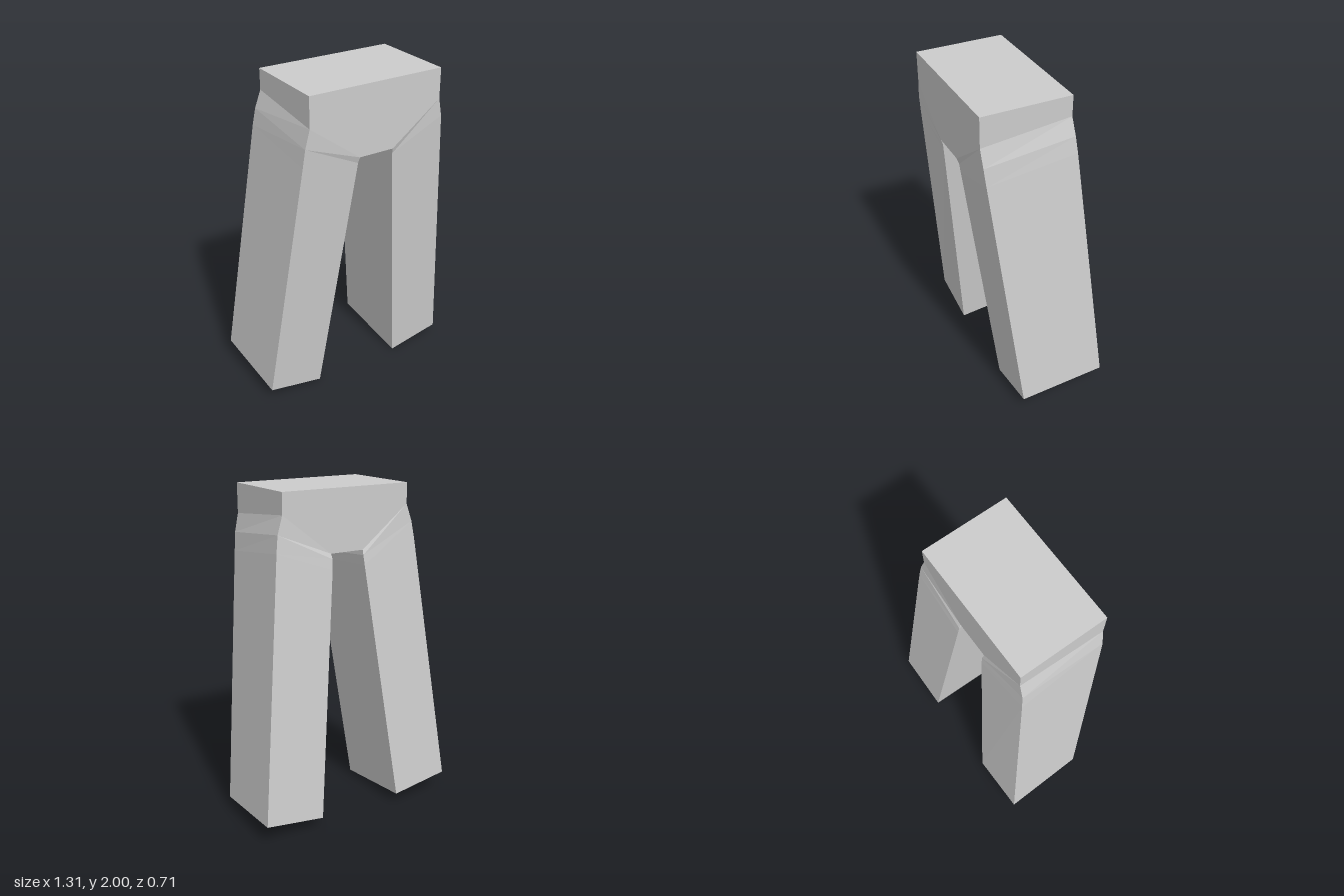
import * as THREE from 'three';

const material = new THREE.MeshStandardMaterial({ color: 0xcccccc, flatShading: true });

// Turns convex polygons (corners anticlockwise from outside) into a mesh
function polygonMesh(name, polygons) {
  const positions = [];
  for (const p of polygons) {
    for (let i = 1; i < p.length - 1; i++) positions.push(...p[0], ...p[i], ...p[i + 1]);
  }
  const geometry = new THREE.BufferGeometry();
  geometry.setAttribute('position', new THREE.Float32BufferAttribute(positions, 3));
  geometry.computeVertexNormals();
  const mesh = new THREE.Mesh(geometry, material);
  mesh.name = name;
  return mesh;
}

// Waist block: front and back hexagons, open where the legs join
function createWaist() {
  const outline = (side, crotch, z) => [
    [-0.425, 2, z], [-0.425, side, z], [-0.11, crotch, z],
    [0.11, crotch, z], [0.425, side, z], [0.425, 2, z],
  ];
  const front = outline(1.82, 1.587, 0.352);
  const back = outline(1.875, 1.63, -0.185);
  const polygons = [front, [...back].reverse()];
  for (const i of [0, 2, 4, 5]) {
    const j = (i + 1) % 6;
    polygons.push([front[j], front[i], back[i], back[j]]);
  }
  return polygonMesh('waist', polygons);
}

// Leg cross-sections: front inner, front outer, back outer, back inner
const legRings = [
  [[0.11, 1.587, 0.352], [0.425, 1.82, 0.352], [0.425, 1.875, -0.185], [0.11, 1.63, -0.185]],
  [[0.115, 1.55, 0.34], [0.451, 1.71, 0.346], [0.46, 1.77, -0.192], [0.107, 1.6, -0.197]],
  [[0.12, 1.5, 0.335], [0.463, 1.6, 0.336], [0.475, 1.67, -0.203], [0.112, 1.54, -0.205]],
  [[0.288, 0, 0.183], [0.635, 0.065, 0.183], [0.655, 0.115, -0.355], [0.277, 0.062, -0.355]],
];

// side is 1 for the left leg and -1 for the mirrored right leg
function createLeg(name, side) {
  const polygons = [[...legRings[3]].reverse()];
  for (let r = 0; r < 3; r++) {
    const a = legRings[r], b = legRings[r + 1];
    for (let i = 0; i < 4; i++) {
      const j = (i + 1) % 4;
      polygons.push([b[i], b[j], a[j], a[i]]);
    }
  }
  const mirrored = polygons.map((p) => {
    const corners = p.map(([x, y, z]) => [x * side, y, z]);
    return side < 0 ? corners.reverse() : corners;
  });
  return polygonMesh(name, mirrored);
}

export function createModel() {
  const trousers = new THREE.Group();
  trousers.name = 'trousers';
  trousers.add(createWaist(), createLeg('leftLeg', 1), createLeg('rightLeg', -1));
  return trousers;
}
